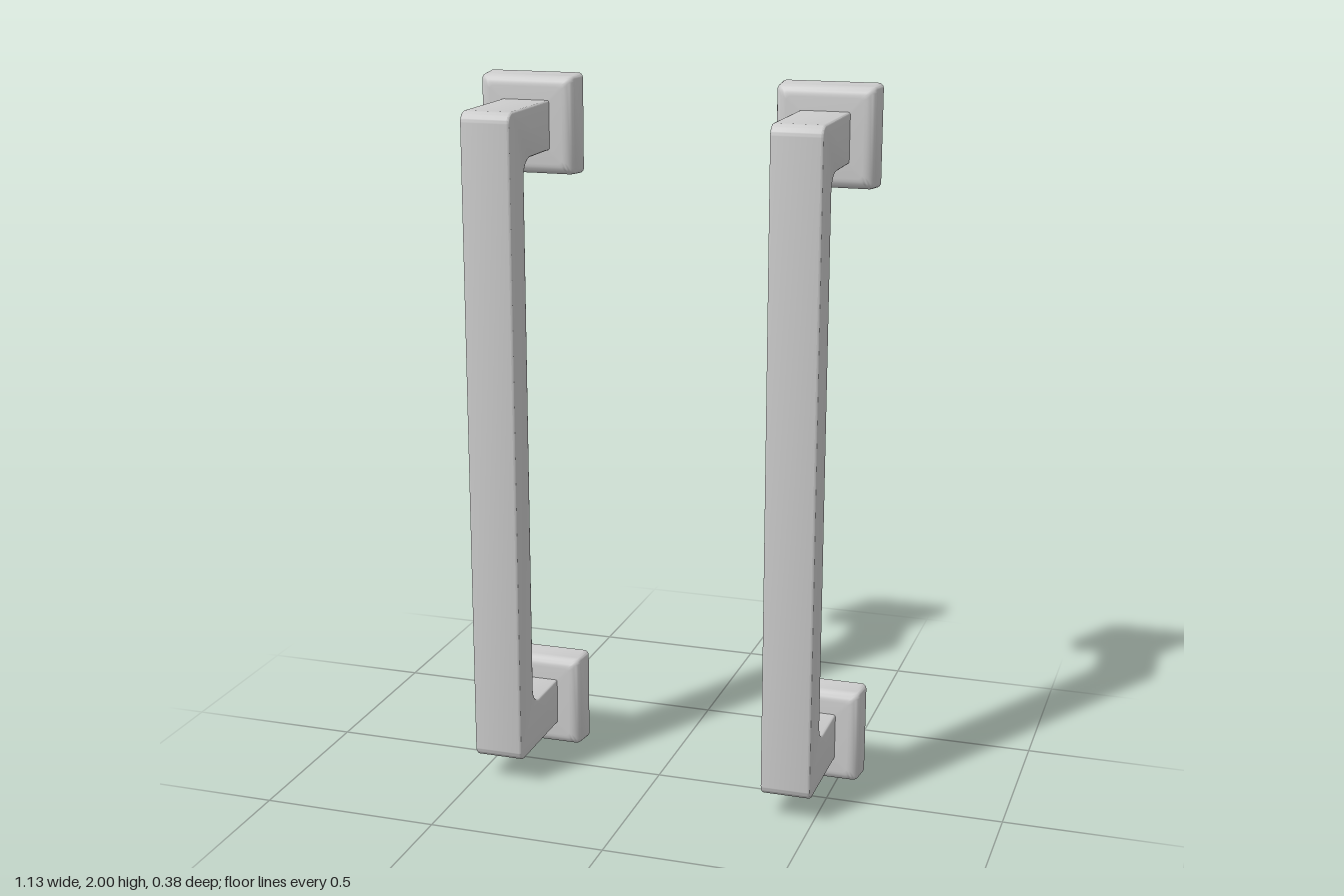
import * as THREE from 'three';
import { toCreasedNormals } from 'three/addons/utils/BufferGeometryUtils.js';

const material = new THREE.MeshStandardMaterial({ color: 0xcccccc });

// C-shaped bar: side profile (z, y) extruded across the width
function barGeometry() {
  const width = 0.14, bevel = 0.006;
  const back = -0.14, front = 0.19, inner = 0.085;
  const low = 0.075, high = 1.93, arm = 0.137;
  const R = 0.03, r = 0.05; // outer and inner corner radii
  const s = new THREE.Shape();
  s.moveTo(back, low);
  s.lineTo(front - R, low);
  s.absarc(front - R, low + R, R, -Math.PI / 2, 0, false);
  s.absarc(front - R, high - R, R, 0, Math.PI / 2, false);
  s.lineTo(back, high);
  s.lineTo(back, high - arm);
  s.absarc(inner - r, high - arm - r, r, Math.PI / 2, 0, true);
  s.absarc(inner - r, low + arm + r, r, 0, -Math.PI / 2, true);
  s.lineTo(back, low + arm);
  s.closePath();
  const g = new THREE.ExtrudeGeometry(s, {
    depth: width - 2 * bevel, bevelEnabled: true, bevelThickness: bevel,
    bevelSize: bevel, bevelOffset: -bevel, bevelSegments: 3, curveSegments: 8,
  });
  g.translate(0, 0, -width / 2 + bevel);
  g.rotateY(-Math.PI / 2);
  return toCreasedNormals(g, 0.6);
}

// Square mounting plate: rounded-square rings lofted from the wall to the front
function plateGeometry() {
  const back = -0.195, front = -0.11, round = 0.03, corner = 0.014, arc = 4;
  const rings = [[0.14, back], [0.1365, front - round]];
  for (let i = 1; i <= 6; i++) {
    const a = (i / 6) * Math.PI / 2;
    rings.push([0.1365 - round * (1 - Math.cos(a)), front - round * (1 - Math.sin(a))]);
  }
  const pos = [], idx = [], n = 4 * (arc + 1);
  for (const [half, z] of rings) {
    for (let q = 0; q < 4; q++) {
      for (let k = 0; k <= arc; k++) {
        const a = (q + k / arc) * Math.PI / 2;
        const mid = (q + 0.5) * Math.PI / 2;
        const c = half - corner;
        pos.push(Math.sign(Math.cos(mid)) * c + corner * Math.cos(a),
          Math.sign(Math.sin(mid)) * c + corner * Math.sin(a), z);
      }
    }
  }
  for (let i = 0; i < rings.length - 1; i++) {
    for (let j = 0; j < n; j++) {
      const a = i * n + j, b = i * n + (j + 1) % n;
      idx.push(a, b, b + n, a, b + n, a + n);
    }
  }
  // Flat back and front caps
  const last = (rings.length - 1) * n, center = rings.length * n;
  pos.push(0, 0, back, 0, 0, front);
  for (let j = 0; j < n; j++) {
    const k = (j + 1) % n;
    idx.push(center, k, j, center + 1, last + j, last + k);
  }
  const g = new THREE.BufferGeometry();
  g.setAttribute('position', new THREE.Float32BufferAttribute(pos, 3));
  g.setIndex(idx);
  return toCreasedNormals(g, 0.6);
}

export function createModel() {
  const model = new THREE.Group();
  model.name = 'pullHandlePair';
  const bar = barGeometry(), plate = plateGeometry();

  for (const side of [-1, 1]) {
    const handle = new THREE.Group();
    handle.name = side < 0 ? 'rightHandle' : 'leftHandle';
    handle.position.x = side * 0.425;

    const grip = new THREE.Mesh(bar, material);
    grip.name = 'gripBar';
    handle.add(grip);

    for (const [name, y] of [['lowerPlate', 0.143], ['upperPlate', 1.86]]) {
      const mount = new THREE.Mesh(plate, material);
      mount.name = name;
      mount.position.y = y;
      handle.add(mount);
    }
    model.add(handle);
  }
  return model;
}
